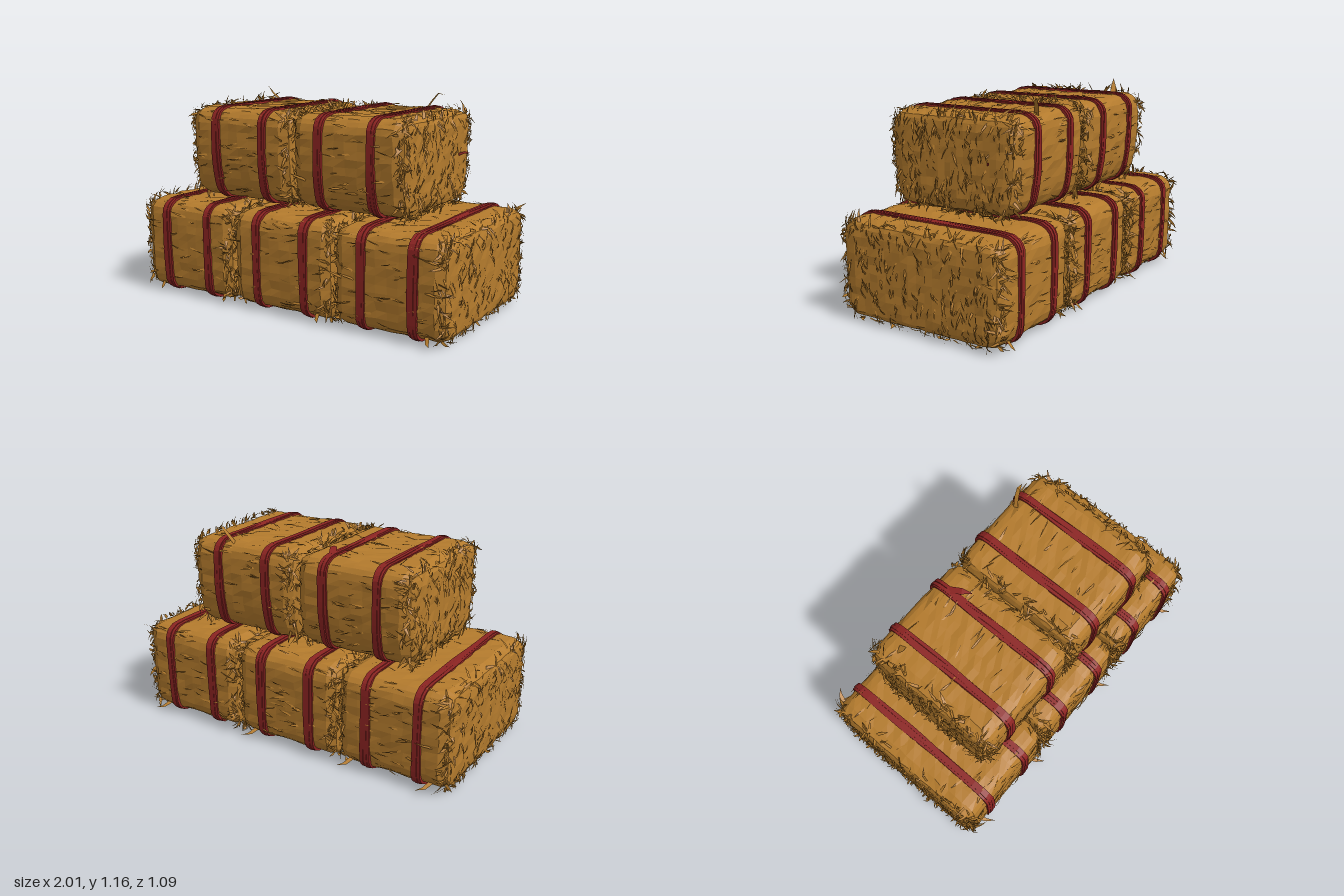
import * as THREE from 'three';
import { mergeGeometries } from 'three/addons/utils/BufferGeometryUtils.js';

const V = (x, y, z) => new THREE.Vector3(x, y, z);

let seed = 7;
const rand = (a = 0, b = 1) => {
  seed = (seed * 16807) % 2147483647;
  return a + (b - a) * (seed / 2147483647);
};
const sign = () => (rand() < 0.5 ? -1 : 1);

// repeatable jitter from a position, so shared corners stay closed
const hash = (x, y, z, k) => {
  const s = Math.sin(x * 127.1 + y * 311.7 + z * 74.7 + k * 53.3) * 43758.5453;
  return (s - Math.floor(s)) * 2 - 1;
};

// moves a point of a box onto the soft bale form; gives the point and its normal
function soften(p, half, radius, taper) {
  const inner = V(0, 0, 0), d = V(0, 0, 0);
  for (const a of ['x', 'y', 'z']) {
    const lim = half[a] - radius[a];
    inner[a] = Math.max(-lim, Math.min(lim, p[a]));
    d[a] = (p[a] - inner[a]) / radius[a];
  }
  d.normalize();
  const pos = inner.add(d.clone().multiply(radius));
  const low = Math.max(0, (0.2 - pos.y / half.y) / 1.2);
  pos.z *= 1 - taper * low * low;
  return { pos, normal: d.clone().divide(radius).normalize() };
}

// point on the unit square outline, t from 0 to 4
function square(t) {
  const f = (t % 1) * 2 - 1;
  return [[f, -1], [1, f], [-f, 1], [-1, -f]][Math.floor(t) % 4];
}

// faceted, slightly lumpy bale body
function bodyGeometry(half, radius, taper) {
  const g = new THREE.BoxGeometry(half.x * 2, half.y * 2, half.z * 2, 10, 12, 20);
  const at = g.attributes.position, p = V(0, 0, 0);
  for (let i = 0; i < at.count; i++) {
    p.fromBufferAttribute(at, i);
    const { pos, normal } = soften(p, half, radius, taper);
    const k = [0, 1, 2].map(n => hash(...p.toArray().map(v => Math.round(v * 1000) / 1000), n));
    pos.addScaledVector(normal, -0.004 + 0.004 * k[0]);
    pos.y += 0.004 * k[1] * (1 - Math.abs(normal.y));
    pos.x += 0.005 * k[2] * (1 - Math.abs(normal.x));
    at.setXYZ(i, pos.x, pos.y, pos.z);
  }
  g.computeVertexNormals();
  return g;
}

// one flat cord that wraps the bale at x
function cordGeometry(half, radius, taper, x, width, grow) {
  const ring = (g) => {
    const h = V(1, half.y + g, half.z + g), pts = [];
    for (let i = 0; i < 64; i++) {
      const [a, b] = square(i / 16);
      const { pos } = soften(V(0, b * h.y, a * h.z), h, radius, taper);
      pts.push(new THREE.Vector2(pos.z, pos.y));
    }
    return pts;
  };
  const shape = new THREE.Shape(ring(grow));
  shape.holes.push(new THREE.Path(ring(-0.012)));
  const g = new THREE.ExtrudeGeometry(shape, { depth: width, bevelEnabled: false });
  g.translate(0, 0, -width / 2).rotateY(-Math.PI / 2);
  g.scale(1, 1, 1);
  // the cord wanders a little along its way
  const at = g.attributes.position, ph = rand(0, 6);
  for (let i = 0; i < at.count; i++) {
    const a = Math.atan2(at.getY(i), at.getZ(i));
    at.setX(i, at.getX(i) + x + 0.004 * Math.sin(a * 3 + ph));
  }
  return g;
}

// pointed, bent blade through points, as a thin strip
function addBlade(out, pts, side, width) {
  const n = pts.length - 1;
  const edge = (i, s) => pts[i].clone().addScaledVector(side, s * width * 0.5 * (1 - 0.35 * i / n));
  for (let i = 0; i < n; i++) {
    const a = edge(i, -1), b = edge(i, 1);
    if (i === n - 1) out.push(a, b, pts[n]);
    else out.push(a, b, edge(i + 1, 1), a, edge(i + 1, 1), edge(i + 1, -1));
  }
}

function bladesGeometry(out) {
  const g = new THREE.BufferGeometry().setFromPoints(out);
  g.computeVertexNormals();
  return g;
}

// scattered straw over one bale; ends lists the exposed end faces
function strawGeometry(half, radius, taper, ends, floor) {
  const out = [];
  const grow = (p, dir, length, lift, width) => {
    const { pos, normal } = soften(p, half, radius, taper);
    if (normal.y < -0.85) lift = 0.004;
    const t = dir.clone().addScaledVector(normal, -dir.dot(normal)).normalize();
    const side = normal.clone().cross(t).addScaledVector(normal, rand(-0.7, 0.7)).normalize();
    const pts = [[0, -0.006], [0.5, lift * 0.7], [1, lift]].map(([f, l]) =>
      pos.clone().addScaledVector(t, f * length).addScaledVector(normal, l));
    pts.forEach(q => { q.y = Math.max(q.y, floor); });
    addBlade(out, pts, side, width);
  };
  // ragged rims at both ends
  for (let i = 0; i < 330; i++) {
    const [a, b] = square(rand(0, 4)), s = sign();
    grow(V(s * half.x * rand(0.86, 1), b * half.y, a * half.z),
      V(s * rand(-1, 0.6), rand(-1, 1), rand(-1, 1)), rand(0.03, 0.08), rand(0.002, 0.018), rand(0.008, 0.018));
  }
  // straw on the exposed ends, denser toward the outline
  for (const s of ends) for (let i = 0; i < 230; i++) {
    const [a, b] = square(rand(0, 4)), k = Math.sqrt(rand(0.05, 0.95));
    grow(V(s * half.x, b * k * half.y, a * k * half.z),
      V(0, sign(), rand(-0.5, 0.5)), rand(0.03, 0.09), rand(0.004, 0.014), rand(0.006, 0.014));
  }
  // long straws lying along the sides and top
  for (let i = 0; i < 110; i++) {
    const [a, b] = square(rand(1, 4));
    grow(V(rand(-0.8, 0.8) * half.x, b * half.y, a * half.z),
      V(sign(), rand(-0.35, 0.35), rand(-0.35, 0.35)), rand(0.05, 0.12), rand(0.002, 0.01), rand(0.006, 0.014));
  }
  return bladesGeometry(out);
}

export function createModel() {
  const model = new THREE.Group();
  model.name = 'strawBaleStack';
  const straw = new THREE.MeshStandardMaterial({ color: 0xb47b2d, flatShading: true, side: THREE.DoubleSide });
  straw.name = 'golden straw';
  const red = new THREE.MeshStandardMaterial({ color: 0x8c2422, flatShading: true, side: THREE.DoubleSide });
  red.name = 'red twine';

  const add = (parent, name, geometry, material) => {
    const m = new THREE.Mesh(geometry, material);
    m.name = name;
    parent.add(m);
  };

  function bale(name, x, y, half, taper, straps, ends) {
    const g = new THREE.Group();
    g.name = name;
    g.position.set(x, y, 0);
    const radius = V(0.05, 0.085, 0.1);
    add(g, 'baleBody', bodyGeometry(half, radius, taper), straw);
    add(g, 'looseStraw', strawGeometry(half, radius, taper, ends, 0.003 - y), straw);
    // each strap is a bundle of three cords of uneven thickness
    const cords = straps.flatMap(sx => [[-0.016, 0.006], [0, 0.009], [0.016, 0.007]].map(([dx, grow]) =>
      cordGeometry(half, radius, taper, sx - x + dx, 0.019, grow)));
    add(g, 'twineStraps', mergeGeometries(cords), red);
    model.add(g);
  }

  // lower row of three, upper row of two
  const low = V(0.324, 0.268, 0.498), high = V(0.342, 0.256, 0.399);
  bale('lowerRightBale', -0.645, 0.278, low, 0.03, [-0.79, -0.495], [-1]);
  bale('lowerMiddleBale', 0, 0.278, low, 0.03, [-0.15, 0.155], []);
  bale('lowerLeftBale', 0.65, 0.278, low, 0.03, [0.5, 0.795], [1]);
  bale('upperRightBale', -0.344, 0.824, high, 0.13, [-0.495, -0.18], [-1]);
  bale('upperLeftBale', 0.344, 0.824, high, 0.13, [0.18, 0.495], [1]);

  // stray straws that stick out
  const strays = [];
  const stray = (side, width, ...pts) => addBlade(strays, pts.map(p => V(...p)), side.normalize(), width);
  stray(V(0, 0, 1), 0.03, [0.42, 1.06, -0.34], [0.45, 1.11, -0.36], [0.48, 1.15, -0.37], [0.52, 1.14, -0.38]);
  stray(V(0.3, 0, 1), 0.035, [-0.54, 1.07, -0.27], [-0.58, 1.11, -0.25], [-0.61, 1.155, -0.235]);
  stray(V(0, 0, 1), 0.025, [-0.67, 0.98, 0.1], [-0.7, 0.95, 0.1], [-0.73, 0.87, 0.11]);
  stray(V(0, 1, 0), 0.02, [0.64, 0.62, -0.35], [0.65, 0.6, -0.39], [0.66, 0.585, -0.41]);
  for (const s of [-1, 1]) for (const x of [-0.86, -0.4, 0.22, 0.86])
    stray(V(1, 0.2, 0), 0.025, [x, 0.05, s * 0.46], [x + 0.02, 0.03, s * 0.5], [x + 0.05, 0.03, s * 0.54]);
  for (const x of [-0.9, -0.28, 0.3, 0.92])
    stray(V(1, 0, 0.3), 0.025, [x, 0.51, -0.48], [x + 0.01, 0.53, -0.51], [x + 0.04, 0.55, -0.54]);
  add(model, 'strayStraws', bladesGeometry(strays), straw);

  // loose twine tails
  const tails = [];
  addBlade(tails, [V(-0.18, 1.085, -0.3), V(-0.14, 1.1, -0.23), V(-0.11, 1.09, -0.18)], V(0.8, 0, -0.5), 0.045);
  addBlade(tails, [V(0.68, 0.84, -0.22), V(0.705, 0.85, -0.25), V(0.73, 0.845, -0.27)], V(0, 1, 0), 0.015);
  add(model, 'twineTails', bladesGeometry(tails), red);

  return model;
}
